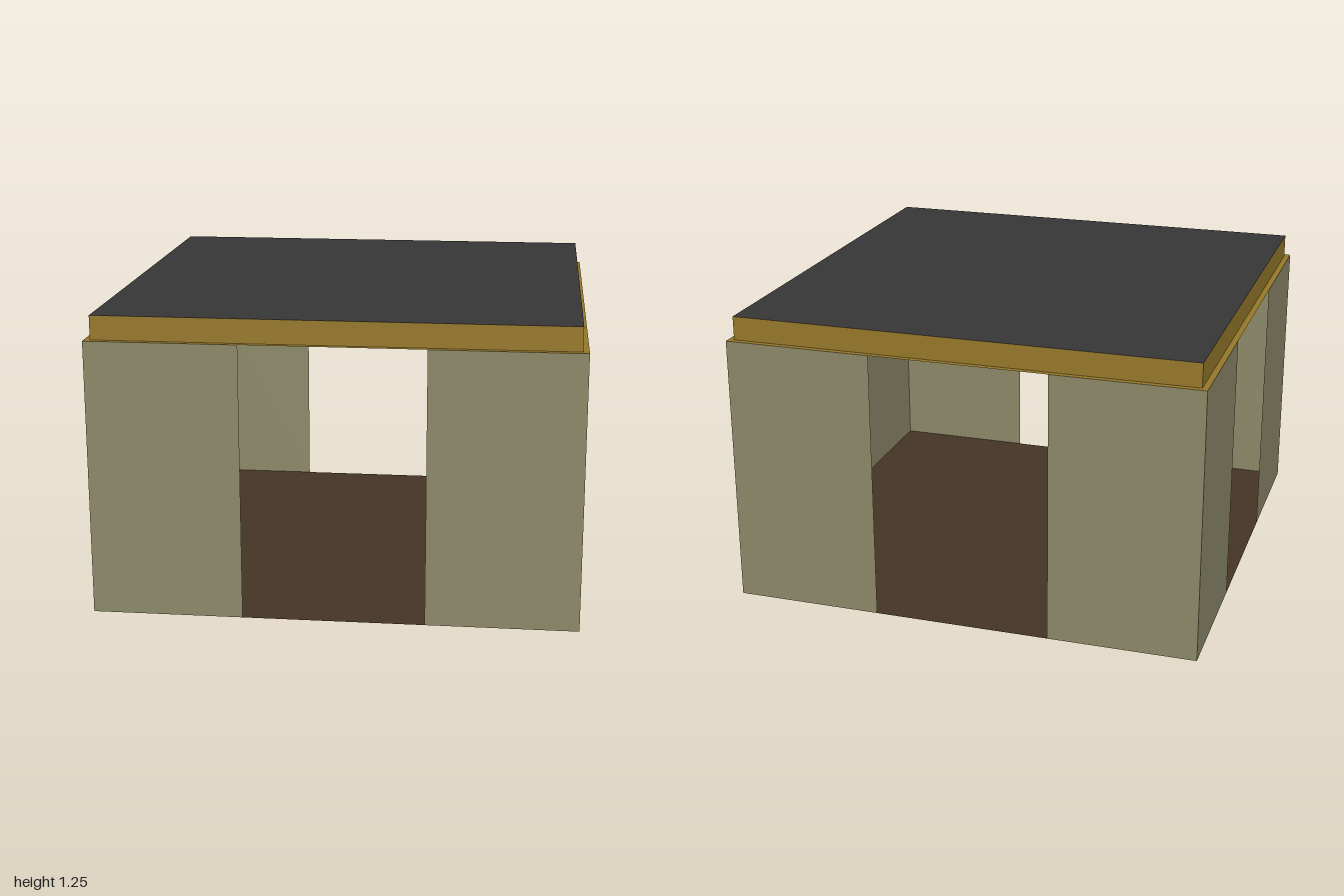
import * as THREE from 'three';

const WALL_H = 1.15, ROOF_H = 1.25, INNER = 0.975, GAP = 0.375;

const paint = (color) => new THREE.MeshStandardMaterial({ color, side: THREE.DoubleSide, flatShading: true });

export function createModel() {
  const model = new THREE.Group();
  const wallMat = paint(0x8b8868), trimMat = paint(0x967829);
  const roofMat = paint(0x363636), floorMat = paint(0x453424);

  const add = (parent, name, geometry, material) => {
    const mesh = new THREE.Mesh(geometry, material);
    mesh.name = name;
    parent.add(mesh);
    return mesh;
  };
  const slab = (size, y) => new THREE.PlaneGeometry(size, size).rotateX(-Math.PI / 2).translate(0, y, 0);

  add(model, 'floor', slab(2, 0), floorMat);
  add(model, 'roof', slab(2 * INNER, ROOF_H), roofMat);

  // Narrow flat ledge between the wall tops and the roof band
  const square = (path, r) => path.moveTo(-r, -r).lineTo(r, -r).lineTo(r, r).lineTo(-r, r).closePath();
  const ring = square(new THREE.Shape(), 1);
  ring.holes.push(square(new THREE.Path(), INNER));
  const ledge = new THREE.ShapeGeometry(ring).rotateX(-Math.PI / 2).translate(0, WALL_H, 0);
  add(model, 'roofLedge', ledge, trimMat);

  // Four identical sides: two thin wall panels around an opening, and a roof band
  const panelW = 1 - GAP, bandH = ROOF_H - WALL_H;
  ['front', 'left', 'back', 'right'].forEach((label, i) => {
    const side = new THREE.Group();
    side.name = label + 'Side';
    side.rotation.y = i * Math.PI / 2;
    for (const s of [-1, 1]) {
      const panel = new THREE.PlaneGeometry(panelW, WALL_H).translate(s * (GAP + panelW / 2), WALL_H / 2, 1);
      add(side, 'wallPanel', panel, wallMat);
    }
    const band = new THREE.PlaneGeometry(2 * INNER, bandH).translate(0, WALL_H + bandH / 2, INNER);
    add(side, 'roofBand', band, trimMat);
    model.add(side);
  });

  return model;
}
